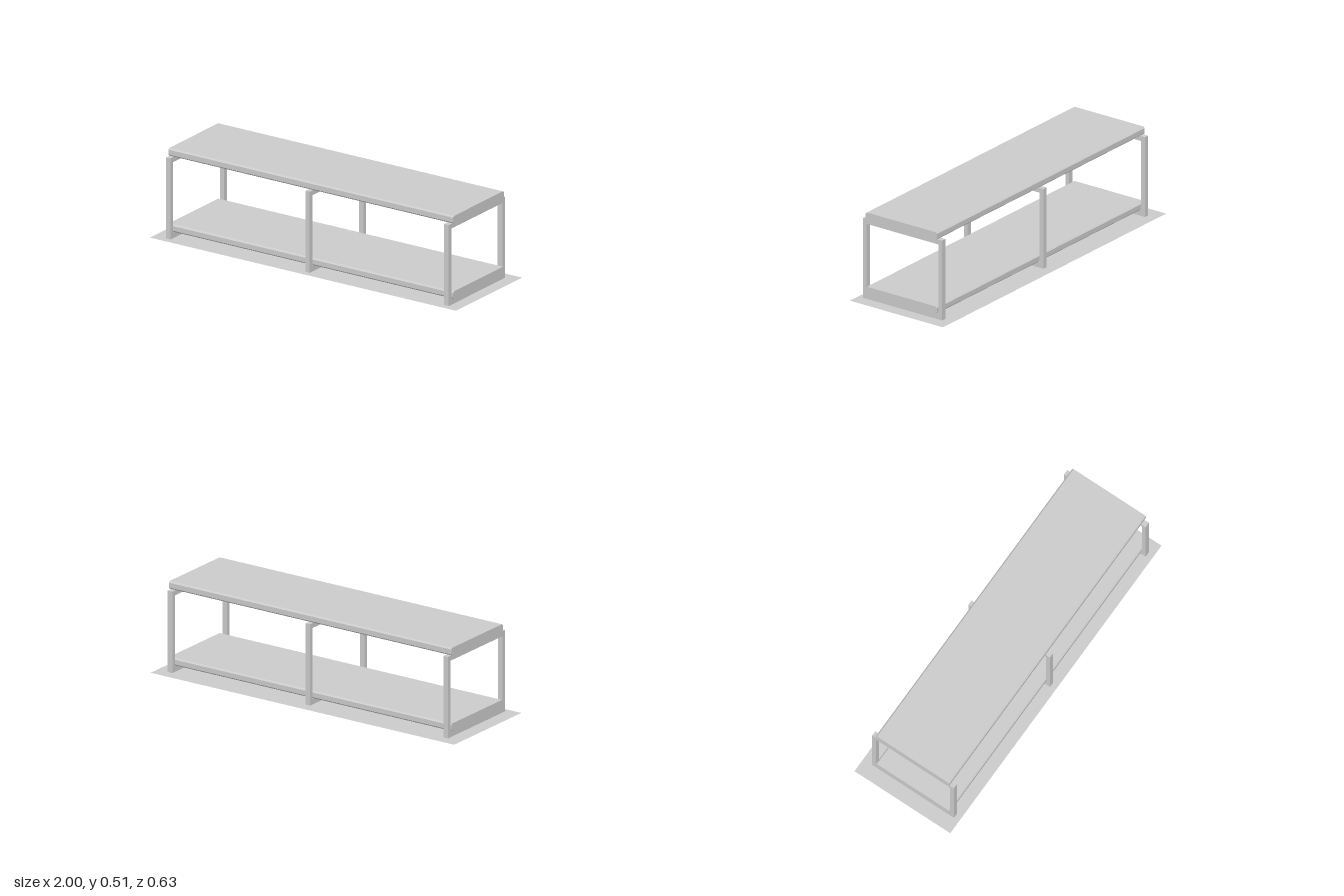
import * as THREE from 'three';

const material = new THREE.MeshStandardMaterial({ color: 0xcccccc, flatShading: true });
const sheetMaterial = new THREE.MeshStandardMaterial({ color: 0xcccccc, side: THREE.DoubleSide });

// Corner points of a side profile; u = -z, so that a quarter turn lays the extrusion along +x
function rectangle(z0, z1, y0, y1) {
  return [[-z1, y0], [-z0, y0], [-z0, y1], [-z1, y1]].map(([u, y]) => new THREE.Vector2(u, y));
}

function chamferedRectangle(z0, z1, y0, y1, c) {
  return [
    [-z1 + c, y0], [-z0 - c, y0], [-z0, y0 + c], [-z0, y1 - c],
    [-z0 - c, y1], [-z1 + c, y1], [-z1, y1 - c], [-z1, y0 + c],
  ].map(([u, y]) => new THREE.Vector2(u, y));
}

function extrudeAlongX(name, shape, x0, x1) {
  const geometry = new THREE.ExtrudeGeometry(shape, { depth: x1 - x0, bevelEnabled: false });
  geometry.rotateY(Math.PI / 2).translate(x0, 0, 0);
  const mesh = new THREE.Mesh(geometry, material);
  mesh.name = name;
  return mesh;
}

export function createModel() {
  const model = new THREE.Group();
  model.name = 'twoTierBench';

  // Thin floor sheet
  const floor = new THREE.Mesh(new THREE.PlaneGeometry(2, 0.626).rotateX(-Math.PI / 2), sheetMaterial);
  floor.name = 'floorSheet';
  model.add(floor);

  // Seat board and lower shelf with chamfered long edges
  for (const [name, y0, y1] of [['seatBoard', 0.466, 0.51], ['lowerShelf', 0.035, 0.078]]) {
    const shape = new THREE.Shape(chamferedRectangle(-0.228, 0.252, y0, y1, 0.008));
    model.add(extrudeAlongX(name, shape, -0.921, 0.939));
  }

  // Three closed rectangular frames carrying both boards
  const frame = new THREE.Shape(rectangle(-0.254, 0.279, 0.002, 0.466));
  frame.holes.push(new THREE.Path(rectangle(-0.229, 0.255, 0.035, 0.438)));
  for (const [name, x0, x1] of [
    ['rightFrame', -0.917, -0.888],
    ['middleFrame', -0.008, 0.021],
    ['leftFrame', 0.898, 0.929],
  ]) {
    model.add(extrudeAlongX(name, frame, x0, x1));
  }

  return model;
}
